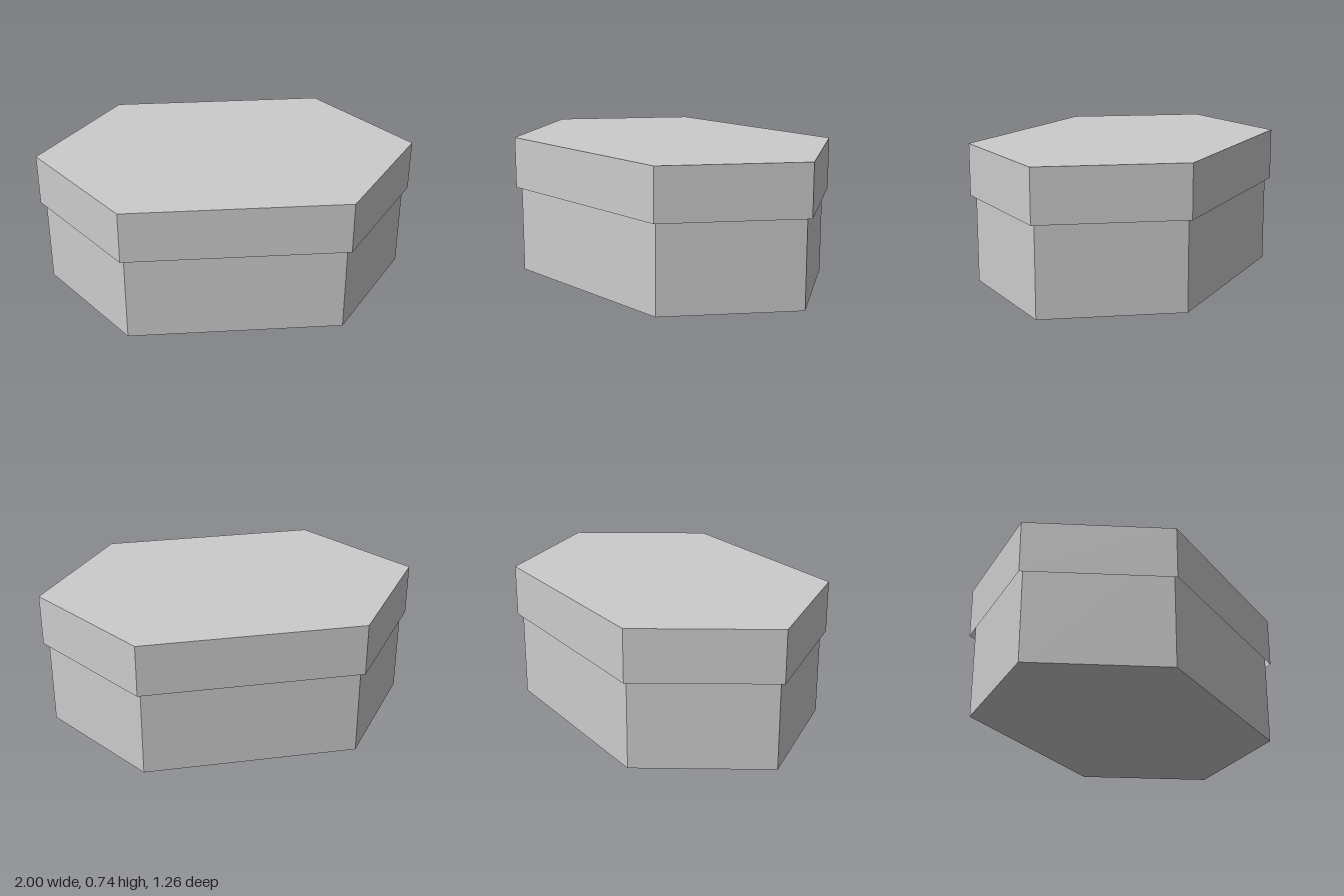
import * as THREE from 'three';

const material = new THREE.MeshStandardMaterial({ color: 0xcccccc, flatShading: true, side: THREE.DoubleSide });

// Stretched hexagon outline, pointed at both ends of x
const outline = (tip, shoulder, depth) => [
  [tip, 0], [shoulder, -depth], [-shoulder, -depth],
  [-tip, 0], [-shoulder, depth], [shoulder, depth],
].map(([x, z]) => new THREE.Vector2(x, z));

// Thin tray: six walls from y0 to y1 closed by one panel at panelY
function tray(name, points, y0, y1, panelY) {
  const group = new THREE.Group();
  group.name = name;

  const panel = new THREE.Mesh(new THREE.ShapeGeometry(new THREE.Shape(points)), material);
  panel.name = name + 'Panel';
  panel.rotation.x = panelY === y0 ? Math.PI / 2 : -Math.PI / 2;
  panel.position.y = panelY;
  group.add(panel);

  points.forEach((a, i) => {
    const b = points[(i + 1) % points.length];
    const wall = new THREE.Mesh(new THREE.PlaneGeometry(a.distanceTo(b), y1 - y0), material);
    wall.name = name + 'Wall';
    wall.position.set((a.x + b.x) / 2, (y0 + y1) / 2, (a.y + b.y) / 2);
    // Turn the wall to face outward
    wall.rotation.y = Math.atan2(b.y - a.y, a.x - b.x) + Math.PI;
    const out = new THREE.Vector3(0, 0, 1).applyEuler(wall.rotation);
    if (out.dot(wall.position) < 0) wall.rotation.y += Math.PI;
    group.add(wall);
  });
  return group;
}

export function createModel() {
  const model = new THREE.Group();
  model.name = 'hexagonalBox';
  // Box body, open at the top, reaching up inside the lid
  model.add(tray('body', outline(0.97, 0.555, 0.603), 0, 0.71, 0));
  // Lid, open at the bottom, slightly wider than the body
  model.add(tray('lid', outline(1, 0.572, 0.628), 0.465, 0.74, 0.74));
  return model;
}
